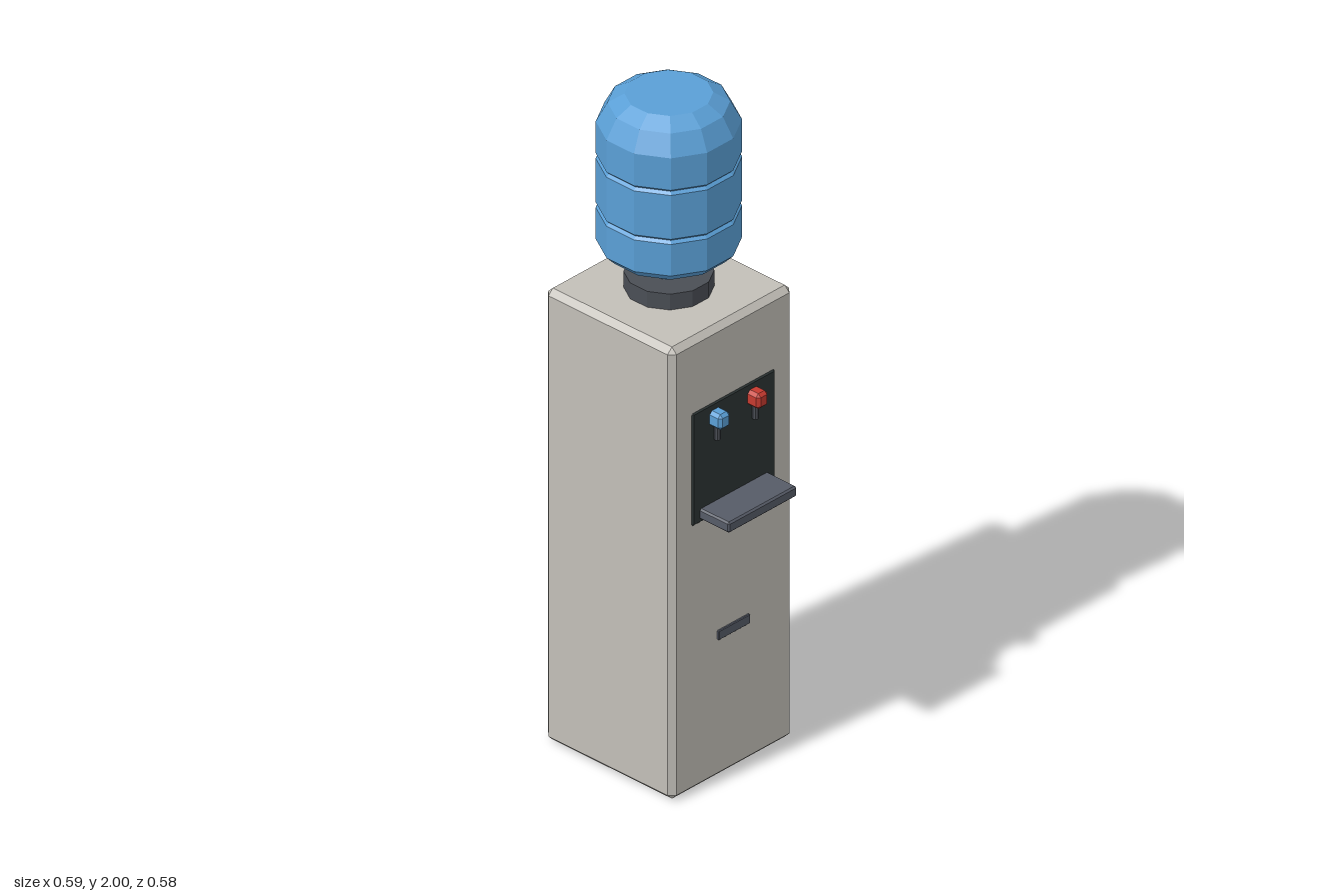
import * as THREE from 'three';
import { ConvexGeometry } from 'three/addons/geometries/ConvexGeometry.js';

const material = (name, color) => {
  const m = new THREE.MeshStandardMaterial({ color, flatShading: true });
  m.name = name;
  return m;
};

// Box with every edge cut by a flat chamfer c, given by its two corners
function chamferBox([x0, y0, z0], [x1, y1, z1], c) {
  const h = [(x1 - x0) / 2, (y1 - y0) / 2, (z1 - z0) / 2];
  const points = [];
  for (const sx of [-1, 1]) for (const sy of [-1, 1]) for (const sz of [-1, 1]) {
    for (let face = 0; face < 3; face++) {
      const [x, y, z] = h.map((v, i) => (i === face ? v : v - c));
      points.push(new THREE.Vector3(sx * x, sy * y, sz * z));
    }
  }
  return new ConvexGeometry(points).translate((x0 + x1) / 2, (y0 + y1) / 2, (z0 + z1) / 2);
}

// Faceted turned part: profile holds [distance to flat side, height], bottom to top
function turned(profile, sides, phase) {
  const points = profile.map(([r, y]) => new THREE.Vector2(r, y));
  return new THREE.LatheGeometry(points, sides, phase);
}

export function createModel() {
  const group = new THREE.Group();
  group.name = 'waterCooler';
  const casing = material('warmGrey', 0xc2bfb8);
  const blue = material('bottleBlue', 0x5a9fd6);
  const red = material('hotRed', 0xc63a30);
  const slate = material('slateGrey', 0x565b67);
  const charcoal = material('collarGrey', 0x4a4e55);
  const black = material('panelBlack', 0x2c3434);

  const add = (name, geometry, mat, x = 0, y = 0, z = 0) => {
    const mesh = new THREE.Mesh(geometry, mat);
    mesh.name = name;
    mesh.position.set(x, y, z);
    group.add(mesh);
  };

  // Cabinet and its front fittings
  add('cabinet', chamferBox([-0.297, 0, -0.29], [0.17, 1.4, 0.178], 0.017), casing);
  add('tapPanel', chamferBox([-0.222, 0.825, 0.168], [0.095, 1.173, 0.182], 0.004), black);
  add('dripTray', chamferBox([-0.194, 0.835, 0.17], [0.068, 0.868, 0.287], 0.005), slate);
  add('doorHandle', chamferBox([-0.124, 0.43, 0.17], [-0.003, 0.459, 0.184], 0.002), slate);

  // Cold and hot taps with spouts
  for (const [name, x, mat] of [['coldTap', -0.136, blue], ['hotTap', 0.01, red]]) {
    add(name, chamferBox([x - 0.021, 1.106, 0.172], [x + 0.021, 1.153, 0.221], 0.009), mat);
    add(name + 'Spout', new THREE.CylinderGeometry(0.009, 0.009, 0.05, 8), charcoal, x, 1.088, 0.19);
  }

  // Collar and twelve-sided bottle with two grooves
  const bx = -0.063, bz = -0.056, k = 1 / Math.cos(Math.PI / 12);
  const collar = new THREE.CylinderGeometry(0.116 * k, 0.116 * k, 0.055, 12, 1, false, Math.PI / 12);
  add('bottleCollar', collar, charcoal, bx, 1.4215, bz);
  const profile = [
    [0, 1.43], [0.045, 1.43], [0.045, 1.466], [0.163, 1.524], [0.187, 1.55],
    [0.187, 1.648], [0.179, 1.656], [0.187, 1.664],
    [0.187, 1.8], [0.179, 1.808], [0.187, 1.816],
    [0.187, 1.915], [0.157, 1.973], [0.1135, 2], [0, 2],
  ].map(([r, y]) => [r * k, y]);
  add('bottle', turned(profile, 12, Math.PI / 12), blue, bx, 0, bz);

  // Cup dispenser tube with the rim of the lowest cup
  add('cupTube', new THREE.CylinderGeometry(0.066, 0.066, 0.391, 8), casing, 0.2305, 0.9105, -0.055);
  add('cup', new THREE.CylinderGeometry(0.05, 0.06, 0.055, 8), casing, 0.2305, 0.6885, -0.055);
  return group;
}
